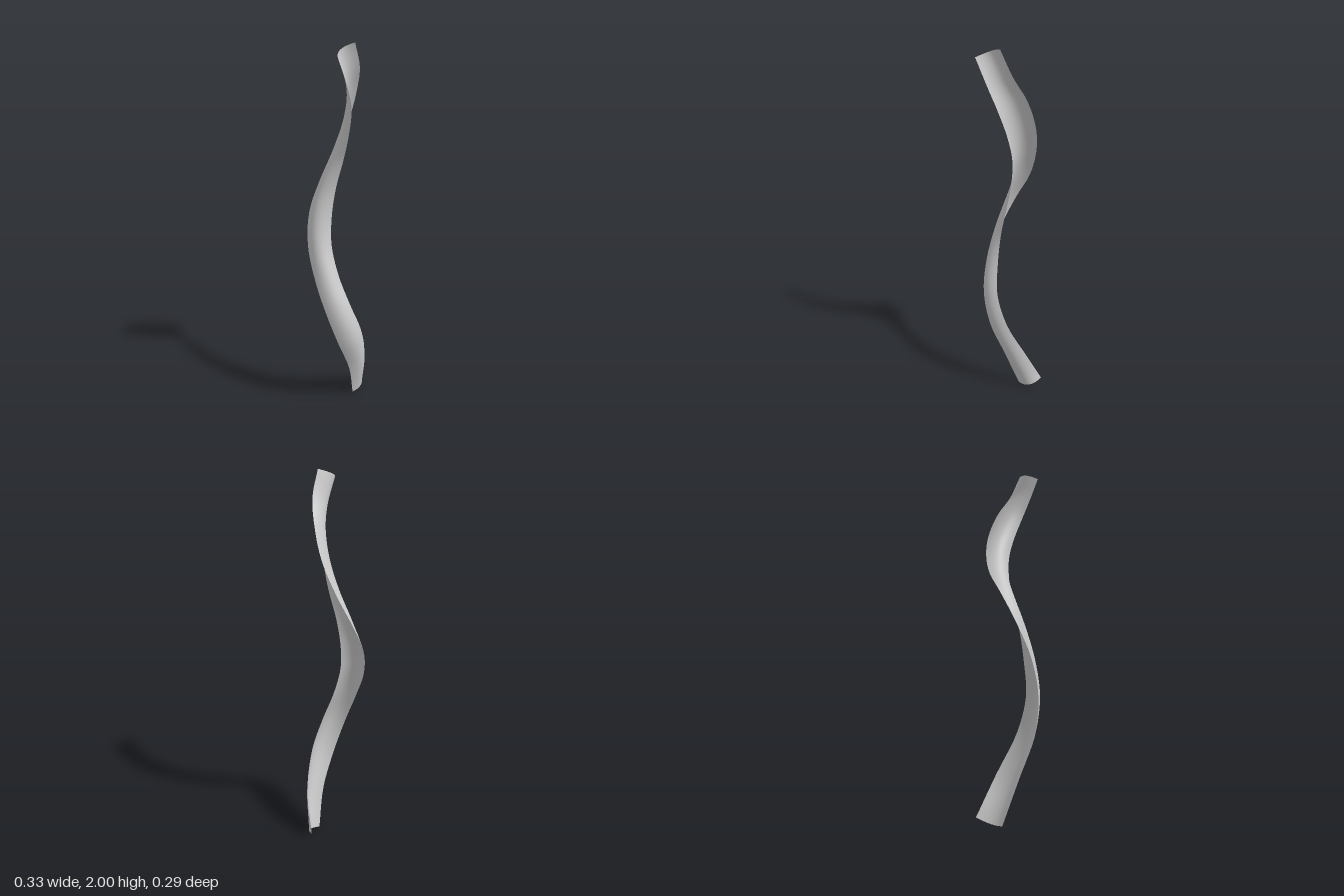
import * as THREE from 'three';

// Matching stations along the two long edges of the strip, bottom to top.
const edgeA = [
  [0.075, 0.003, 0.01], [0.02, 0.22, 0.07], [-0.065, 0.42, 0.108], [-0.125, 0.6, 0.095],
  [-0.16, 0.78, 0.035], [-0.16, 0.96, -0.055], [-0.12, 1.12, -0.118], [-0.045, 1.27, -0.145],
  [0.04, 1.45, -0.118], [0.09, 1.61, -0.07], [0.097, 1.76, -0.01], [0.075, 1.88, 0.055], [0.03, 2, 0.09],
];
const edgeB = [
  [0.165, 0.05, -0.083], [0.145, 0.265, 0.015], [0.075, 0.475, 0.095], [0.005, 0.645, 0.105],
  [-0.042, 0.81, 0.065], [-0.063, 0.975, 0.025], [-0.048, 1.125, -0.001], [-0.02, 1.27, -0.008],
  [0.015, 1.43, 0.012], [0.024, 1.57, 0.05], [0.012, 1.7, 0.092], [-0.03, 1.82, 0.122], [-0.085, 1.945, 0.145],
];
const SAG = 0.036; // depth of the curved cross-section
const ROWS = 60, COLS = 12;

const curveOf = (pts) => new THREE.CatmullRomCurve3(pts.map((p) => new THREE.Vector3(...p)));

function ribbonGeometry() {
  const a = curveOf(edgeA), b = curveOf(edgeB);
  const geo = new THREE.PlaneGeometry(1, 1, COLS, ROWS);
  const pos = geo.attributes.position;
  for (let i = 0; i <= ROWS; i++) {
    const t = i / ROWS;
    const p = a.getPoint(t), q = b.getPoint(t);
    const along = a.getTangent(t).add(b.getTangent(t));
    const bulge = q.clone().sub(p).cross(along).normalize();
    // shallow arc from one edge to the other
    for (let j = 0; j <= COLS; j++) {
      const v = j / COLS;
      const point = p.clone().lerp(q, v).addScaledVector(bulge, SAG * 4 * v * (1 - v));
      pos.setXYZ((ROWS - i) * (COLS + 1) + j, point.x, point.y, point.z);
    }
  }
  geo.computeVertexNormals();
  return geo;
}

export function createModel() {
  const group = new THREE.Group();
  group.name = 'twistedStrip';
  const material = new THREE.MeshStandardMaterial({ color: 0xcccccc, side: THREE.DoubleSide });
  const ribbon = new THREE.Mesh(ribbonGeometry(), material);
  ribbon.name = 'curvedRibbon';
  group.add(ribbon);
  return group;
}
